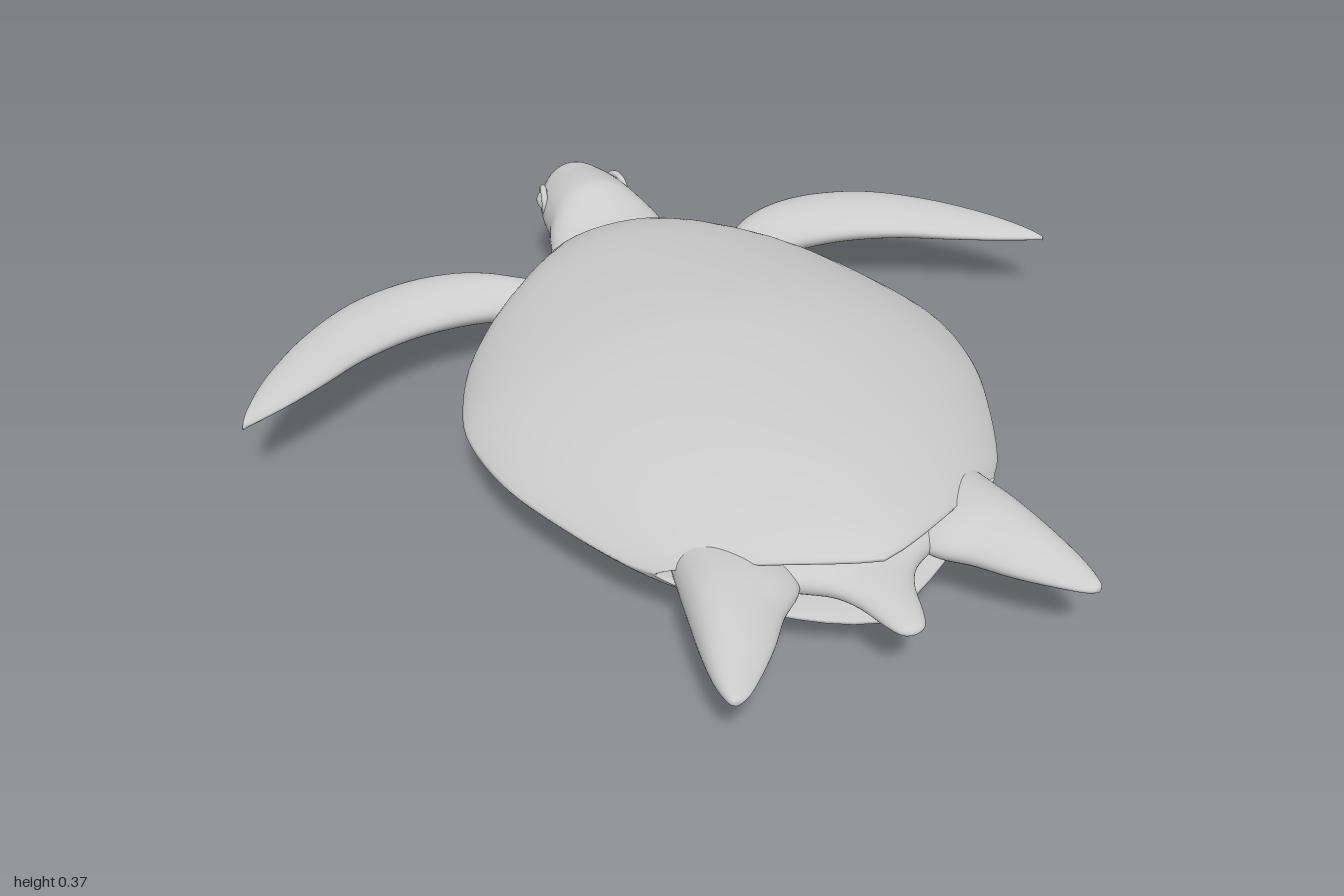
import * as THREE from 'three';

const MID = 0.187; // height of the body's centre plane
const SIDES = 48;

// Catmull-Rom resampling of a small table, column by column
function smooth(rows, steps) {
  const out = [];
  const last = rows.length - 1;
  for (let i = 0; i <= last * steps; i++) {
    const k = Math.min(Math.floor(i / steps), last - 1);
    const t = i / steps - k;
    const [a, b, c, d] = [rows[Math.max(k - 1, 0)], rows[k], rows[k + 1], rows[Math.min(k + 2, last)]];
    out.push(b.map((_, j) => 0.5 * (2 * b[j] + (c[j] - a[j]) * t
      + (2 * a[j] - 5 * b[j] + 4 * c[j] - d[j]) * t * t
      + (3 * b[j] - a[j] - 3 * c[j] + d[j]) * t * t * t)));
  }
  return out;
}

// Closed ring of points from a rule (cos, sin) -> [x, y, z]
function ring(rule) {
  return Array.from({ length: SIDES }, (_, i) => {
    const a = (i / SIDES) * Math.PI * 2;
    return rule(Math.cos(a), Math.sin(a));
  });
}

// Skin a list of rings, close both ends and turn all faces outward
function loft(rings) {
  const pos = rings.flat();
  const index = [];
  for (let r = 0; r < rings.length - 1; r++) {
    for (let i = 0; i < SIDES; i++) {
      const a = r * SIDES + i, b = r * SIDES + (i + 1) % SIDES;
      index.push(a, b, a + SIDES, b, b + SIDES, a + SIDES);
    }
  }
  for (const r of [0, rings.length - 1]) {
    const centre = [0, 1, 2].map(j => rings[r].reduce((s, p) => s + p[j], 0) / SIDES);
    const c = pos.push(centre) - 1;
    for (let i = 0; i < SIDES; i++) {
      const a = r * SIDES + i, b = r * SIDES + (i + 1) % SIDES;
      if (r === 0) index.push(c, b, a); else index.push(c, a, b);
    }
  }
  let volume = 0;
  const v = pos.map(p => new THREE.Vector3(...p));
  for (let i = 0; i < index.length; i += 3) {
    volume += v[index[i]].dot(v[index[i + 1]].clone().cross(v[index[i + 2]]));
  }
  if (volume < 0) index.reverse();
  const geometry = new THREE.BufferGeometry();
  geometry.setAttribute('position', new THREE.Float32BufferAttribute(pos.flat(), 3));
  geometry.setIndex(index);
  geometry.computeVertexNormals();
  return geometry;
}

// Soft body loft along z; rows are [z, half width, top, bottom]
function bodyLoft(rows) {
  return loft(smooth(rows, 5).map(([z, w, top, bottom]) =>
    ring((c, s) => [w * c, (top + bottom) / 2 + s * (top - bottom) / 2, z])));
}

// Flipper; rows are [lead x, lead z, trail x, trail z, half thickness]
function flipper(rows, side) {
  return loft(smooth(rows, 5).map(([lx, lz, tx, tz, h]) => ring((c, s) => {
    const k = (1 + c) / 2;
    return [side * (tx + (lx - tx) * k), MID + h * s * (0.95 + 0.28 * c), tz + (lz - tz) * k];
  })));
}

// Lens-shaped shell with a rolled lip at each opening;
// rows are [z at the side, half width, half height, bulge of z at the middle]
function shell() {
  const rows = smooth([
    [-0.45, 0.285, 0.1, -0.13],
    [-0.38, 0.375, 0.125, -0.13],
    [-0.28, 0.475, 0.147, -0.11],
    [-0.1, 0.553, 0.175, -0.06],
    [0.03, 0.573, 0.187, 0],
    [0.2, 0.55, 0.178, 0.05],
    [0.37, 0.487, 0.153, 0.13],
    [0.5, 0.425, 0.113, 0.2],
    [0.555, 0.385, 0.086, 0.222],
  ], 5);
  const lip = ([z, w, h, b], dir) => [
    [z + dir * 0.009, w * 0.99, h * 0.94, b],
    [z + dir * 0.009, w * 0.975, h * 0.86, b],
    [z, w * 0.96, h * 0.78, b],
    [z - dir * 0.05, w * 0.95, h * 0.74, b],
    [z - dir * 0.16, w * 0.9, h * 0.7, b],
  ];
  const all = [...lip(rows[0], -1).reverse(), ...rows, ...lip(rows[rows.length - 1], 1)];
  return loft(all.map(([z, w, h, b]) => ring((c, s) => [
    w * c,
    MID + h * Math.sign(s) * Math.abs(s) ** 1.6,
    z + b * (1 - Math.abs(c) ** (b < 0 ? 4 : 1.3)),
  ])));
}

export function createModel() {
  const group = new THREE.Group();
  const material = new THREE.MeshStandardMaterial({ color: 0xcccccc });
  const add = (name, geometry) => {
    const mesh = new THREE.Mesh(geometry, material);
    mesh.name = name;
    group.add(mesh);
    return mesh;
  };

  add('shell', shell());

  // Head, neck, hidden torso and tail in one skin
  add('body', bodyLoft([
    [-0.956, 0.02, 0.225, 0.165],
    [-0.945, 0.048, 0.26, 0.138],
    [-0.91, 0.078, 0.29, 0.126],
    [-0.86, 0.102, 0.3, 0.12],
    [-0.8, 0.115, 0.311, 0.108],
    [-0.74, 0.121, 0.315, 0.115],
    [-0.69, 0.138, 0.295, 0.128],
    [-0.64, 0.152, 0.272, 0.125],
    [-0.59, 0.165, 0.26, 0.113],
    [-0.54, 0.215, 0.258, 0.112],
    [-0.47, 0.285, 0.25, 0.12],
    [-0.3, 0.36, 0.25, 0.12],
    [0, 0.42, 0.25, 0.12],
    [0.4, 0.36, 0.25, 0.12],
    [0.6, 0.27, 0.245, 0.13],
    [0.69, 0.18, 0.235, 0.14],
    [0.745, 0.1, 0.225, 0.15],
    [0.8, 0.063, 0.218, 0.158],
    [0.87, 0.042, 0.208, 0.168],
    [0.905, 0.027, 0.2, 0.175],
    [0.916, 0.008, 0.19, 0.183],
  ]));

  add('lowerJaw', bodyLoft([
    [-0.936, 0.02, 0.128, 0.11],
    [-0.915, 0.056, 0.133, 0.094],
    [-0.86, 0.085, 0.135, 0.086],
    [-0.8, 0.097, 0.14, 0.09],
    [-0.74, 0.088, 0.16, 0.112],
    [-0.69, 0.06, 0.18, 0.14],
  ]));

  const frontRows = [
    [0.18, -0.5, 0.22, -0.38, 0.05],
    [0.25, -0.515, 0.29, -0.43, 0.054],
    [0.34, -0.585, 0.37, -0.453, 0.058],
    [0.43, -0.62, 0.46, -0.46, 0.06],
    [0.54, -0.63, 0.57, -0.445, 0.056],
    [0.67, -0.6, 0.69, -0.4, 0.049],
    [0.8, -0.515, 0.79, -0.34, 0.039],
    [0.91, -0.4, 0.88, -0.29, 0.027],
    [0.975, -0.3, 0.95, -0.258, 0.016],
    [1, -0.24, 0.995, -0.24, 0.006],
  ];
  const rearRows = [
    [0.33, 0.5, 0.12, 0.62, 0.06],
    [0.35, 0.6, 0.14, 0.715, 0.068],
    [0.365, 0.68, 0.2, 0.775, 0.065],
    [0.385, 0.79, 0.25, 0.84, 0.048],
    [0.396, 0.88, 0.3, 0.895, 0.028],
    [0.393, 0.935, 0.345, 0.938, 0.014],
    [0.385, 0.95, 0.37, 0.952, 0.006],
  ];

  for (const [side, label] of [[1, 'Left'], [-1, 'Right']]) {
    add('frontFlipper' + label, flipper(frontRows, side));
    add('rearFlipper' + label, flipper(rearRows, side));

    // Eyeball with a raised lid around it
    const eye = add('eye' + label, new THREE.SphereGeometry(0.026, 20, 14));
    eye.position.set(side * 0.091, 0.236, -0.842);
    const lid = add('eyelid' + label, new THREE.TorusGeometry(0.031, 0.008, 10, 28));
    lid.position.set(side * 0.099, 0.236, -0.842);
    lid.rotation.set(0, side * (Math.PI / 2 + 0.25), 0);
    lid.scale.set(1.1, 1, 1);

    const nostril = add('nostril' + label, new THREE.TorusGeometry(0.009, 0.003, 8, 16));
    nostril.position.set(side * 0.026, 0.235, -0.947);
    nostril.rotation.set(0.35, -side * 0.4, 0);
  }
  return group;
}
